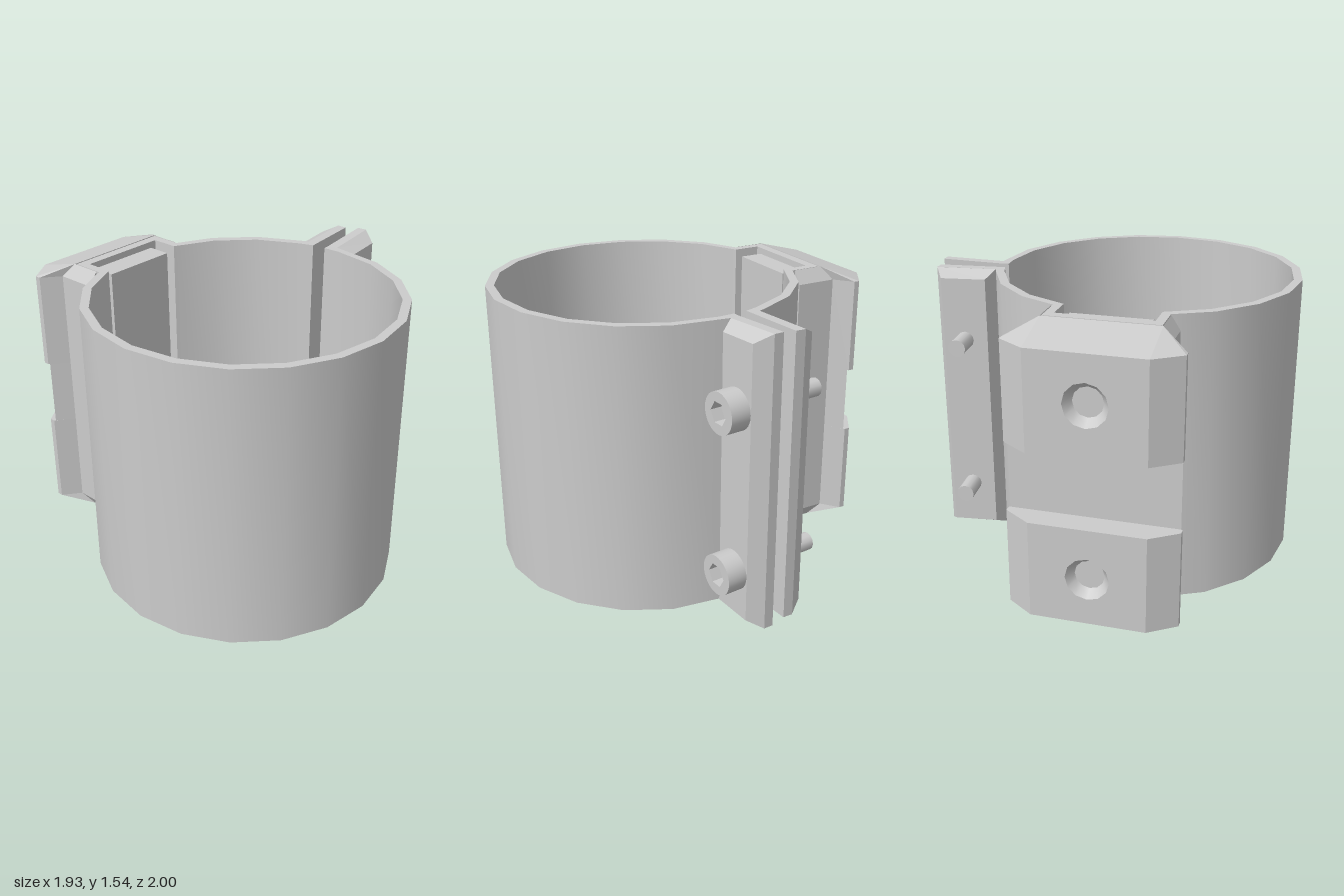
import * as THREE from 'three';
import { toCreasedNormals } from 'three/addons/utils/BufferGeometryUtils.js';

const CX = -0.16, CZ = 0.185;          // axis of the round band
const Y0 = 0.015, Y1 = 1.535, MID = 0.775;
const grey = new THREE.MeshStandardMaterial({ color: 0xcccccc });
const greyInside = new THREE.MeshStandardMaterial({ color: 0xcccccc, side: THREE.BackSide });

function add(parent, name, geometry, material = grey) {
  const mesh = new THREE.Mesh(geometry, material);
  mesh.name = name;
  parent.add(mesh);
  return mesh;
}

// Joins rings of equal point count with flat quads; skip(band, i) leaves a quad open
function loft(rings, capped, skip = () => false) {
  const pos = [], n = rings[0].length;
  const quad = (a, b, c, d) => [a, b, c, a, c, d].forEach(p => pos.push(...p));
  for (let r = 0; r < rings.length - 1; r++) {
    for (let i = 0; i < n; i++) {
      const j = (i + 1) % n;
      if (!skip(r, i)) quad(rings[r][i], rings[r + 1][i], rings[r + 1][j], rings[r][j]);
    }
  }
  if (capped) {
    quad(...rings[0]);
    quad(...[...rings[rings.length - 1]].reverse());
  }
  const g = new THREE.BufferGeometry();
  g.setAttribute('position', new THREE.Float32BufferAttribute(pos, 3));
  g.computeVertexNormals();
  return g;
}

// Split band: one outline with channel at the back and two lips at the side
function bandGeometry() {
  const arc = (r, from, to) => {
    const pts = [], step = Math.sign(to - from) * 18;
    for (let a = from; a !== to + step; a += step) {
      const t = THREE.MathUtils.degToRad(a);
      pts.push([CX + r * Math.cos(t), CZ + r * Math.sin(t)]);
    }
    return pts;
  };
  const outline = [
    [0.96, 0.065], [0.96, 0.115], [0.65, 0.145],
    ...arc(0.81, 18, 234),
    [-0.445, -0.565], [-0.445, -0.737], [0.125, -0.737], [0.125, -0.565],
    ...arc(0.81, 306, 342),
    [0.625, -0.03], [0.947, -0.065], [0.947, -0.012], [0.593, 0.025],
    ...arc(0.765, 342, 306),
    [0.08, -0.54], [0.08, -0.685], [-0.40, -0.685], [-0.40, -0.54],
    ...arc(0.765, 234, 18),
    [0.605, 0.185], [0.60, 0.097],
  ];
  const shape = new THREE.Shape(outline.map(([x, z]) => new THREE.Vector2(x, -z)));
  const g = new THREE.ExtrudeGeometry(shape, { depth: Y1 - Y0, bevelEnabled: false });
  g.rotateX(-Math.PI / 2).translate(0, Y0, 0);
  return toCreasedNormals(g, 0.4);
}

// Mounting block: chamfered ends and a slot across its back
function buildBlock() {
  const block = new THREE.Group();
  block.name = 'mountingBlock';
  block.position.x = CX;
  const mirror = half => [...half, ...half.map(([x, z]) => [-x, z]).reverse()];
  const channel = [[-0.29, -0.58], [-0.29, -0.745], [0.29, -0.745], [0.29, -0.58]];
  const full = mirror([[0.335, -0.58], [0.335, -0.8], [0.43, -0.875], [0.43, -0.905], [0.29, -1]]);
  const slot = mirror([[0.335, -0.58], [0.335, -0.8], [0.422, -0.87], [0.422, -0.87], [0.29, -0.87]]);
  const tip = mirror([[0.29, -0.58], ...Array(4).fill([0.29, -0.745])]);
  const ring = (outer, y) => [...channel, ...outer].map(([x, z]) => [x, y, z]);
  add(block, 'blockBody', loft([
    ring(tip, Y1), ring(full, 1.465), ring(full, 0.955), ring(slot, 0.955),
    ring(slot, 0.595), ring(full, 0.595), ring(full, 0.085), ring(tip, Y0),
  ], false, (band, i) => i === 8 && (band === 1 || band === 5)));

  // Back faces with countersunk holes
  for (const s of [-1, 1]) {
    const lo = s > 0 ? 0.955 : 0.085, hi = s > 0 ? 1.465 : 0.595;
    const y = MID + s * 0.445;
    const face = new THREE.Shape([[-0.29, lo], [0.29, lo], [0.29, hi], [-0.29, hi]]
      .map(p => new THREE.Vector2(...p)));
    face.holes.push(new THREE.Path().absarc(0, y, 0.11, 0, Math.PI * 2, true));
    add(block, 'blockBackFace', new THREE.ShapeGeometry(face, 12).rotateY(Math.PI).translate(0, 0, -1));
    add(block, 'countersink', new THREE.CylinderGeometry(0.11, 0.075, 0.05, 12, 1, true)
      .rotateX(-Math.PI / 2).translate(0, y, -0.975), greyInside);
    add(block, 'countersinkFloor', new THREE.CircleGeometry(0.075, 12)
      .rotateY(Math.PI).translate(0, y, -0.95));
  }
  return block;
}

// Rectangle section of a clamp bar between two plan points, with a y inset at each
const barRing = ([x0, z0, in0], [x1, z1, in1]) => [
  [x0, Y1 - in0, z0], [x1, Y1 - in1, z1], [x1, Y0 + in1, z1], [x0, Y0 + in0, z0],
];

// Socket-head screw, head facing +z
function buildScrew(y) {
  const screw = new THREE.Group();
  screw.name = 'clampScrew';
  screw.position.set(0.82, y, 0.31);
  screw.rotation.y = 0.085;
  const head = new THREE.Shape().absarc(0, 0, 0.105, 0, Math.PI * 2, false);
  const hex = [];
  for (let i = 0; i < 6; i++) {
    const a = -i * Math.PI / 3;
    hex.push(new THREE.Vector2(0.06 * Math.cos(a), 0.06 * Math.sin(a)));
  }
  head.holes.push(new THREE.Path(hex));
  const g = new THREE.ExtrudeGeometry(head, { depth: 0.105, bevelEnabled: false, curveSegments: 16 });
  add(screw, 'screwHead', toCreasedNormals(g.translate(0, 0, -0.105), 0.5));
  add(screw, 'socketFloor', new THREE.CylinderGeometry(0.08, 0.08, 0.04, 12)
    .rotateX(Math.PI / 2).translate(0, 0, -0.08));
  add(screw, 'screwShaft', new THREE.CylinderGeometry(0.047, 0.047, 0.49, 12)
    .rotateX(Math.PI / 2).translate(0, 0, -0.335));
  return screw;
}

export function createModel() {
  const model = new THREE.Group();
  model.name = 'pipeClamp';

  add(model, 'splitBand', bandGeometry());

  // Pad inside the band's channel
  add(model, 'innerPad', new THREE.BoxGeometry(0.41, 1.45, 0.127)).position.set(CX, MID, -0.6225);

  model.add(buildBlock());

  // Clamp bars on the two lips
  add(model, 'frontClampBar', loft([
    barRing([0.645, 0.093, 0], [0.962, 0.064, -0.012]),
    barRing([0.65, 0.145, 0], [0.965, 0.115, -0.012]),
    barRing([0.70, 0.217, 0.04], [0.917, 0.196, 0.035]),
  ], true));
  add(model, 'rearClampBar', loft([
    barRing([0.66, -0.105, 0.04], [0.897, -0.137, 0.04]),
    barRing([0.625, -0.03, 0], [0.947, -0.063, 0]),
  ], true));

  for (const y of [0.295, 1.155]) model.add(buildScrew(y));
  return model;
}
